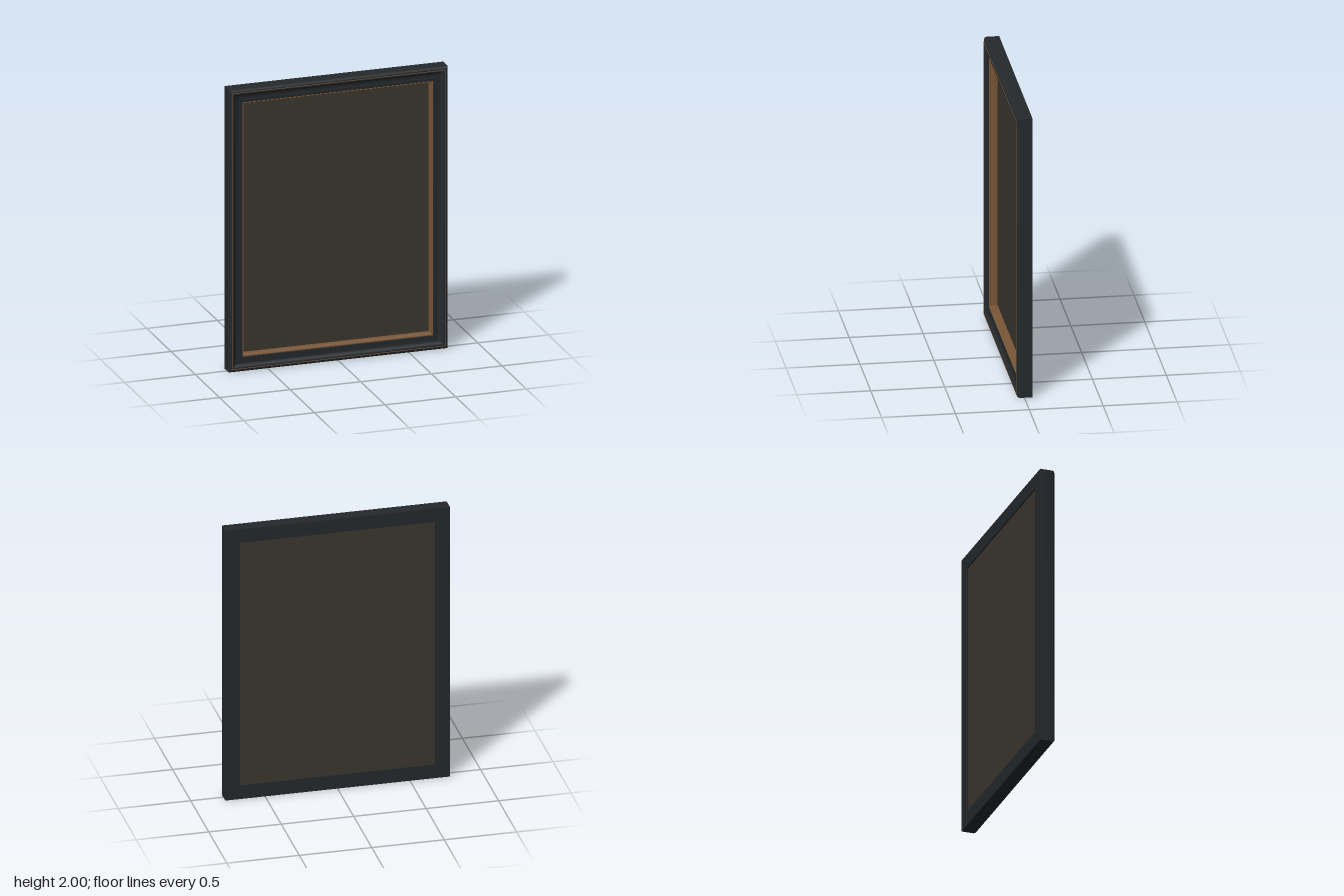
import * as THREE from 'three';
import { toCreasedNormals } from 'three/addons/utils/BufferGeometryUtils.js';

const HALF_W = 0.775, HALF_H = 1;
const CORNERS = [[-1, -1], [1, -1], [1, 1], [-1, 1]];

// Sweeps a closed profile of [inset, z] points round the rectangle with mitred corners.
function moulding(name, profile, material) {
  const positions = [];
  const point = (corner, [inset, z]) => {
    const [sx, sy] = CORNERS[corner % 4];
    return [sx * (HALF_W - inset), HALF_H + sy * (HALF_H - inset), z];
  };
  for (let side = 0; side < 4; side++) {
    profile.forEach((p, j) => {
      const q = profile[(j + 1) % profile.length];
      const a = point(side, p), b = point(side + 1, p);
      const c = point(side + 1, q), d = point(side, q);
      positions.push(...a, ...b, ...c, ...a, ...c, ...d);
    });
  }
  const geometry = new THREE.BufferGeometry();
  geometry.setAttribute('position', new THREE.Float32BufferAttribute(positions, 3));
  const mesh = new THREE.Mesh(toCreasedNormals(geometry, Math.PI / 6), material);
  mesh.name = name;
  return mesh;
}

export function createModel() {
  const group = new THREE.Group();
  group.name = 'pictureFrame';
  const wood = new THREE.MeshStandardMaterial({ color: 0x25292c });
  const gilt = new THREE.MeshStandardMaterial({ color: 0x7a5636 });
  const board = new THREE.MeshStandardMaterial({ color: 0x3b362e });

  // Dark frame: rounded outer edge, hollow cove, flat inner step
  const profile = [[0, -0.055]];
  for (let i = 0; i <= 5; i++) {
    const t = (i / 5) * Math.PI / 2;
    profile.push([0.022 * (1 - Math.cos(t)), 0.03 + 0.022 * Math.sin(t)]);
  }
  profile.push([0.032, 0.052]);
  for (let i = 1; i <= 6; i++) {
    const t = (i / 6) * Math.PI / 2;
    profile.push([0.032 + 0.042 * (1 - Math.cos(t)), 0.052 - 0.026 * Math.sin(t)]);
  }
  profile.push([0.076, 0.033], [0.097, 0.033], [0.1, 0.028], [0.1, -0.055]);
  group.add(moulding('frame', profile, wood));

  // Thin gilt line along the crest
  group.add(moulding('crestLine', [
    [0.021, 0.05], [0.021, 0.054], [0.023, 0.055], [0.025, 0.054], [0.025, 0.05],
  ], gilt));

  // Gilt lining around the opening
  group.add(moulding('innerLining', [
    [0.099, -0.035], [0.099, 0.026], [0.101, 0.03], [0.105, 0.03],
    [0.108, 0.025], [0.108, 0.01], [0.113, 0.005], [0.113, -0.035],
  ], gilt));

  // Backing panel, recessed from both sides
  const panel = new THREE.Mesh(
    new THREE.BoxGeometry(2 * (HALF_W - 0.099), 2 * (HALF_H - 0.099), 0.018), board);
  panel.name = 'panel';
  panel.position.set(0, HALF_H, -0.037);
  group.add(panel);

  return group;
}
